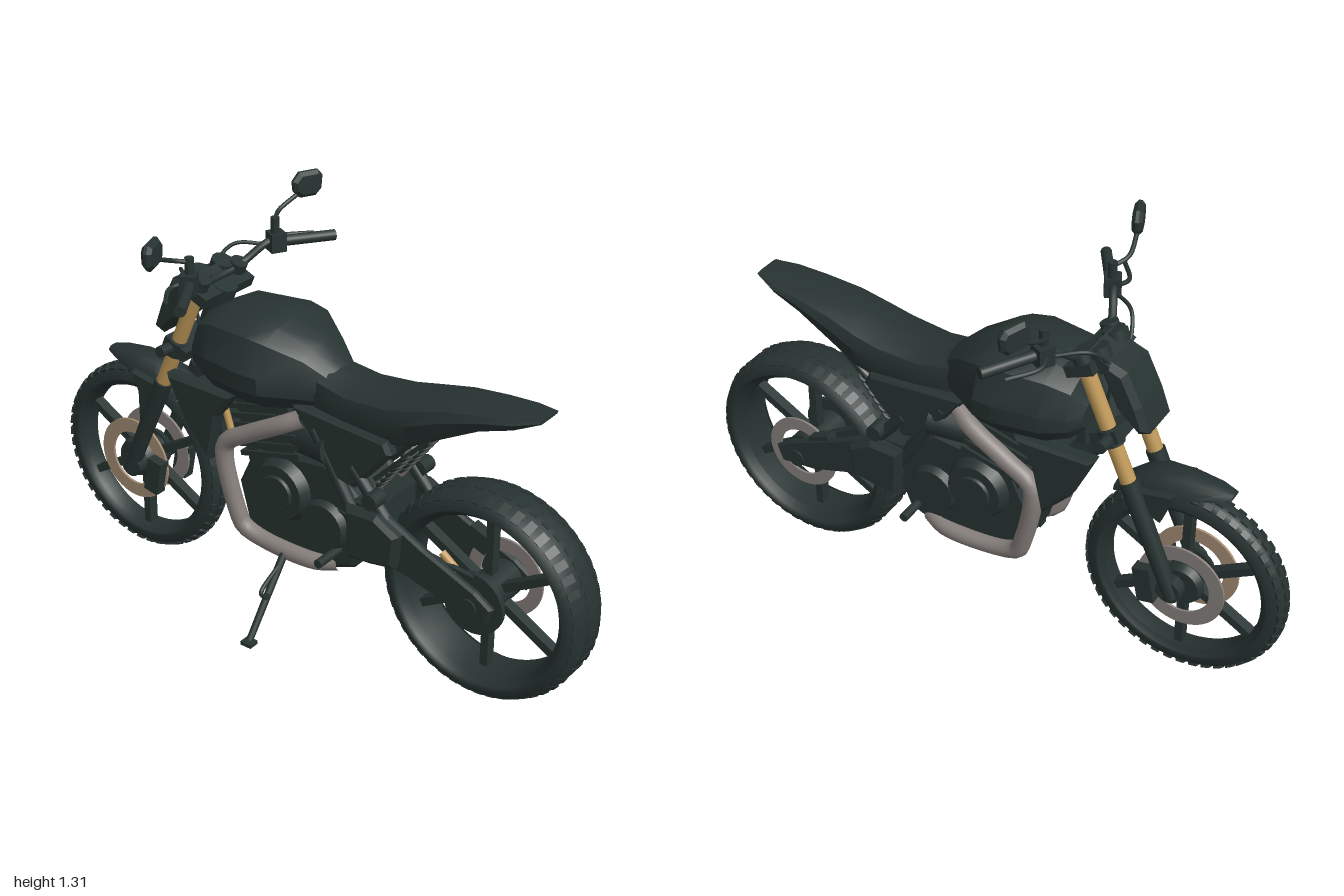
import * as THREE from 'three';
import { mergeGeometries, toCreasedNormals } from 'three/addons/utils/BufferGeometryUtils.js';

const mat = (name, color) => Object.assign(new THREE.MeshStandardMaterial({ color }), { name });
const V = (p) => new THREE.Vector3(...p);

export function createModel() {
  const dark = mat('dark bodywork', 0x273331);
  const gold = mat('gold fork', 0xbf9858);
  const steel = mat('exhaust steel', 0x87807c);
  const tan = mat('brake disc bronze', 0xa48c74);
  const root = new THREE.Group();
  root.name = 'motorcycle';

  const add = (name, geo, m = dark, parent = root) => {
    const mesh = new THREE.Mesh(geo, m);
    mesh.name = name;
    parent.add(mesh);
    return mesh;
  };
  const both = (fn) => [1, -1].forEach(fn);

  // Cylinder between two points
  const rod = (name, a, b, r, m = dark, r2 = r, seg = 14) => {
    const A = V(a), B = V(b), d = B.clone().sub(A);
    const mesh = add(name, new THREE.CylinderGeometry(r2, r, d.length(), seg), m);
    mesh.position.copy(A).addScaledVector(d, 0.5);
    mesh.quaternion.setFromUnitVectors(new THREE.Vector3(0, 1, 0), d.normalize());
    return mesh;
  };
  const box = (name, size, pos, rz = 0) => {
    const mesh = add(name, new THREE.BoxGeometry(...size));
    mesh.position.set(...pos);
    mesh.rotation.z = rz;
    return mesh;
  };
  const tube = (name, pts, r, m = dark) =>
    add(name, new THREE.TubeGeometry(new THREE.CatmullRomCurve3(pts.map(V), false, 'centripetal'), 40, r, 12), m);
  // Side outline extruded from z0 to z1 with a small bevel
  const plate = (name, pts, z0, z1, bevel = 0.008) => {
    const shape = new THREE.Shape(pts.map(([x, y]) => new THREE.Vector2(x, y)));
    const geo = new THREE.ExtrudeGeometry(shape, { depth: z1 - z0 - 2 * bevel, bevelEnabled: true,
      bevelThickness: bevel, bevelSize: bevel, bevelOffset: -bevel, bevelSegments: 1 });
    return add(name, geo.translate(0, 0, z0 + bevel));
  };
  const sidePlates = (name, pts, z0, z1, bevel) =>
    both((s) => plate(name, pts, Math.min(s * z0, s * z1), Math.max(s * z0, s * z1), bevel));
  // Flat ring facing z
  const ring = (name, x, y, z, r0, r1, t, m) => {
    const s = new THREE.Shape().absarc(0, 0, r1, 0, Math.PI * 2);
    s.holes.push(new THREE.Path().absarc(0, 0, r0, 0, Math.PI * 2, true));
    const geo = new THREE.ExtrudeGeometry(s, { depth: t, bevelEnabled: false, curveSegments: 24 });
    return add(name, geo.translate(x, y, z - t / 2), m);
  };
  // Skin over sections [x, bottom, top, halfWidth] with a half profile of [z, y] fractions
  const loft = (name, sections, half, crease = 0.5) => {
    const inner = half.filter(([z]) => z > 0);
    const prof = [...half, ...inner.reverse().map(([z, y]) => [-z, y])];
    const n = prof.length, pos = [], idx = [];
    for (const [x, b, t, w] of sections) for (const [z, y] of prof) pos.push(x, b + (t - b) * y, z * w);
    const last = sections.length - 1;
    for (let i = 0; i < last; i++) for (let j = 0; j < n; j++) {
      const a = i * n + j, c = i * n + (j + 1) % n;
      idx.push(a, c, a + n, c, c + n, a + n);
    }
    for (const i of [0, last]) {
      const [x, b, t] = sections[i], k = pos.length / 3;
      pos.push(x, (b + t) / 2, 0);
      for (let j = 0; j < n; j++) {
        const p = i * n + j, q = i * n + (j + 1) % n;
        idx.push(k, ...(i ? [p, q] : [q, p]));
      }
    }
    const geo = new THREE.BufferGeometry();
    geo.setAttribute('position', new THREE.Float32BufferAttribute(pos, 3));
    geo.setIndex(idx);
    return add(name, toCreasedNormals(geo, crease));
  };

  // Wheels: tyre and rim, tread blocks, spokes, hub
  const wheel = (name, x, y, R, ri, w, tread) => {
    const g = new THREE.Group();
    g.name = name;
    g.position.set(x, y, 0);
    root.add(g);
    const r = R - tread;
    const half = [[ri, 0.6], [ri + 0.02, 0.82], [r - 0.045, 0.98], [r - 0.014, 0.78], [r - 0.002, 0.5], [r, 0]];
    const pts = [...half.map(([a, b]) => [a, -b * w]), ...half.slice(0, -1).reverse().map(([a, b]) => [a, b * w]), [ri, -0.6 * w]];
    add('tyre', new THREE.LatheGeometry(pts.map((p) => new THREE.Vector2(...p)), 64).rotateX(Math.PI / 2), dark, g);
    const blocks = [];
    for (let i = 0; i < 46; i++) for (const k of [-1, 0, 1]) {
      const b = new THREE.BoxGeometry(0.026, 0.014, w * 0.42);
      b.rotateX(k * 0.45).translate(0, R - 0.008 - Math.abs(k) * 0.007, k * w * 0.6);
      blocks.push(b.rotateZ(((i + (k ? 0.5 : 0)) / 46) * Math.PI * 2));
    }
    add('tread', mergeGeometries(blocks), dark, g);
    for (let i = 0; i < 6; i++) {
      const s = add('spoke', new THREE.BoxGeometry(0.026, ri - 0.03, 0.035).translate(0, ri / 2 + 0.02, 0), dark, g);
      s.rotation.z = (i * Math.PI) / 3;
    }
    add('hub', new THREE.CylinderGeometry(0.06, 0.06, w * 1.7, 20).rotateX(Math.PI / 2), dark, g);
  };
  wheel('frontWheel', -0.672, 0.347, 0.328, 0.255, 0.048, 0.006);
  wheel('rearWheel', 0.66, 0.342, 0.337, 0.262, 0.097, 0.002);
  // Brake discs and rear sprocket
  ring('leftFrontDisc', -0.68, 0.35, 0.052, 0.094, 0.141, 0.008, tan);
  ring('rightFrontDisc', -0.68, 0.35, -0.052, 0.094, 0.141, 0.008, steel);
  ring('rearDisc', 0.66, 0.342, -0.085, 0.085, 0.127, 0.008, steel);
  rod('rearSprocket', [0.66, 0.342, 0.08], [0.66, 0.342, 0.098], 0.1, dark, 0.1, 28);
  rod('rearBrakeLink', [0.545, 0.468, 0.088], [0.6, 0.425, 0.088], 0.012, gold);
  rod('frontAxle', [-0.66, 0.35, -0.1], [-0.66, 0.35, 0.1], 0.04);
  rod('rearAxle', [0.66, 0.342, -0.13], [0.66, 0.342, 0.13], 0.03);

  // Fork with gold tubes and dark sliders
  const forkX = (y) => -0.34 + (y - 1.08) * 0.44;
  both((s) => {
    const p = (y) => [forkX(y), y, s * 0.087];
    rod('forkTube', p(0.68), p(1.07), 0.024, gold);
    rod('forkSlider', p(0.33), p(0.7), 0.025, dark, 0.03);
    rod('forkCap', p(1.03), p(1.09), 0.028);
    rod('forkCollar', p(0.815), p(0.865), 0.035);
    box('frontCaliper', [0.055, 0.12, 0.04], [-0.575, 0.33, s * 0.07], -0.2);
    rod('discCarrier', [-0.68, 0.35, s * 0.035], [-0.68, 0.35, s * 0.06], 0.07, dark, 0.06, 24);
    rod('indicator', [-0.45, 0.84, s * 0.09], [-0.45, 0.845, s * 0.165], 0.018);
  });
  box('lowerClamp', [0.09, 0.04, 0.23], [forkX(0.84) + 0.01, 0.84, 0], -0.4);
  box('upperClamp', [0.09, 0.035, 0.23], [forkX(1.04) + 0.01, 1.04, 0], -0.4);
  rod('steeringHead', [-0.41, 0.82, 0], [-0.32, 1.05, 0], 0.04);

  // Front mudguard
  const dome = [[0, 1], [0.55, 0.92], [0.9, 0.6], [1, 0], [0, 0]];
  loft('frontFender', [[-0.8, 0.698, 0.712, 0.025], [-0.75, 0.69, 0.722, 0.045], [-0.67, 0.67, 0.73, 0.062],
    [-0.58, 0.655, 0.725, 0.068], [-0.51, 0.635, 0.69, 0.062], [-0.44, 0.61, 0.632, 0.045]], dome, 0.9);
  sidePlates('fenderBracket', [[-0.65, 0.69], [-0.53, 0.67], [-0.565, 0.6], [-0.61, 0.58]], 0.055, 0.085, 0.006);

  // Headlight cowl and instruments
  plate('headlightCowl', [[-0.42, 1.07], [-0.39, 1.04], [-0.45, 0.92], [-0.52, 0.855], [-0.555, 0.87], [-0.525, 0.95], [-0.475, 1.05]], -0.08, 0.08, 0.018);
  box('instruments', [0.07, 0.04, 0.17], [-0.385, 1.065, 0], 0.5);
  both((s) => rod('dial', [-0.385, 1.06, s * 0.05], [-0.37, 1.098, s * 0.05], 0.035));

  // Handlebar, grips, levers and mirrors
  tube('handlebar', [[-0.28, 1.135, -0.23], [-0.3, 1.13, -0.18], [-0.34, 1.075, -0.09], [-0.34, 1.075, 0.09],
    [-0.3, 1.13, 0.18], [-0.28, 1.135, 0.23]], 0.012);
  both((s) => {
    rod('grip', [-0.27, 1.13, s * 0.22], [-0.18, 1.125, s * 0.365], 0.017);
    box('switchBlock', [0.05, 0.06, 0.05], [-0.285, 1.13, s * 0.205]).rotation.y = s * 0.5;
    rod('mirrorMount', [-0.285, 1.13, s * 0.2], [-0.285, 1.21, s * 0.2], 0.014);
    tube('mirrorStem', [[-0.285, 1.195, s * 0.2], [-0.31, 1.21, s * 0.25], [-0.295, 1.245, s * 0.33]], 0.007);
    tube('lever', [[-0.3, 1.13, s * 0.21], [-0.31, 1.125, s * 0.26], [-0.25, 1.12, s * 0.35]], 0.007);
    tube('cable', [[-0.3, 1.12, s * 0.19], [-0.39, 1.12, s * 0.12], [-0.42, 1.03, s * 0.05], [-0.4, 0.9, s * 0.03]], 0.006);
    const m = plate('mirror', [[-0.054, 0.015], [-0.05, -0.018], [-0.028, -0.04], [0.028, -0.042], [0.05, -0.022],
      [0.054, 0.02], [0.038, 0.04], [-0.03, 0.042]].map(([x, y]) => [x * s, y]), -0.016, 0.016, 0.011);
    m.position.set(-0.283, 1.272, s * 0.358);
    m.rotation.set(0, -Math.PI / 2 + s * 0.35, 0);
  });

  // Fuel tank, seat and tail
  loft('fuelTank', [[-0.365, 0.83, 0.92, 0.11], [-0.33, 0.8, 0.985, 0.15], [-0.26, 0.78, 1.022, 0.183],
    [-0.12, 0.775, 1.03, 0.205], [-0.05, 0.775, 1.018, 0.195], [0.05, 0.78, 0.962, 0.125], [0.12, 0.79, 0.9, 0.08]],
    [[0, 1], [0.45, 0.97], [0.8, 0.84], [1, 0.45], [0.98, 0.22], [0.75, 0], [0, 0]], 0.45);
  loft('seatAndTail', [[0.0, 0.78, 0.96, 0.06], [0.09, 0.74, 0.905, 0.1], [0.2, 0.735, 0.885, 0.11], [0.34, 0.745, 0.897, 0.118],
    [0.42, 0.765, 0.915, 0.117], [0.52, 0.82, 0.938, 0.107], [0.64, 0.882, 0.948, 0.092], [0.74, 0.915, 0.955, 0.078], [0.812, 0.948, 0.958, 0.05]],
    [[0, 1], [0.55, 0.97], [0.88, 0.83], [1, 0.55], [0.85, 0.1], [0.6, 0], [0, 0]], 0.6);
  sidePlates('sidePanel', [[0.02, 0.8], [0.36, 0.78], [0.38, 0.74], [0.33, 0.68], [0.25, 0.59], [0.18, 0.6], [0.1, 0.7]], 0.075, 0.125, 0.012);
  sidePlates('radiatorShroud', [[-0.43, 0.78], [-0.17, 0.775], [-0.23, 0.69], [-0.265, 0.53], [-0.36, 0.63]], 0.11, 0.168, 0.012);
  plate('radiator', [[-0.33, 0.78], [-0.25, 0.78], [-0.22, 0.56], [-0.28, 0.55]], -0.13, 0.13);
  box('frameSpine', [0.55, 0.1, 0.14], [-0.08, 0.78, 0], -0.1);
  box('innerMudguard', [0.26, 0.014, 0.17], [0.39, 0.715, 0], 0.8);

  // Engine
  plate('crankcase', [[-0.16, 0.3], [-0.2, 0.45], [-0.13, 0.6], [0.14, 0.63], [0.25, 0.55], [0.28, 0.4], [0.24, 0.3], [0.15, 0.265], [-0.08, 0.265]], -0.105, 0.105, 0.015);
  for (let i = 0; i < 6; i++) box('coolingFin', [0.23, 0.016, 0.22], [-0.07 - i * 0.008, 0.59 + i * 0.03, 0], 0.25);
  box('cylinderBlock', [0.19, 0.26, 0.2], [-0.09, 0.67, 0], 0.25);
  rod('coolantPipe', [-0.235, 0.72, 0.12], [-0.21, 0.64, 0.12], 0.011, gold);
  both((s) => {
    rod('engineCover', [-0.02, 0.49, s * 0.09], [-0.02, 0.49, s * 0.14], 0.112, dark, 0.09, 28);
    rod('coverCap', [-0.02, 0.49, s * 0.135], [-0.02, 0.49, s * 0.15], 0.06, dark, 0.055, 24);
    rod('sprocketCover', [0.14, 0.42, s * 0.09], [0.14, 0.42, s * 0.13], 0.09, dark, 0.075, 24);
    rod('airboxMount', [0.02, 0.66, s * 0.05], [0.16, 0.68, s * 0.09], 0.055);
    // Exhaust pipes
    tube('exhaustPipe', [[0.05, 0.75, s * 0.1], [0.0, 0.725, s * 0.122], [-0.13, 0.655, s * 0.134], [-0.215, 0.6, s * 0.136], [-0.225, 0.55, s * 0.136],
      [-0.185, 0.36, s * 0.125], [-0.165, 0.315, s * 0.12], [-0.1, 0.288, s * 0.112], [0.1, 0.28, s * 0.108], [0.17, 0.29, s * 0.08]], 0.029, steel);
    // Rear frame, shocks and footpegs
    rod('frameTube', [0.1, 0.74, s * 0.11], [0.28, 0.45, s * 0.11], 0.02);
    rod('swingarmBrace', [0.24, 0.66, s * 0.11], [0.4, 0.48, s * 0.11], 0.02);
    rod('shock', [0.29, 0.57, s * 0.07], [0.43, 0.76, s * 0.07], 0.012, steel);
    for (let i = 0; i < 7; i++) {
      const t = i / 6, coil = add('shockCoil', new THREE.TorusGeometry(0.022, 0.006, 6, 16));
      coil.position.set(0.308 + t * 0.098, 0.594 + t * 0.133, s * 0.07);
      coil.rotation.set(Math.PI / 2, 0.63, 0);
    }
    rod('footpeg', [0.19, 0.352, s * 0.1], [0.19, 0.352, s * 0.212], 0.014);
    rod('rearPegMount', [0.33, 0.585, s * 0.1], [0.33, 0.585, s * 0.155], 0.026);
  });

  // Swingarm with pivot covers, and chain
  sidePlates('swingarm', [[0.26, 0.53], [0.36, 0.545], [0.5, 0.475], [0.68, 0.4], [0.74, 0.36], [0.72, 0.305], [0.6, 0.315], [0.45, 0.36], [0.33, 0.38], [0.26, 0.42]], 0.098, 0.124, 0.008);
  sidePlates('pivotCover', [[0.24, 0.54], [0.35, 0.545], [0.43, 0.5], [0.42, 0.39], [0.33, 0.375], [0.25, 0.37]], 0.11, 0.157, 0.014);
  box('swingarmBridge', [0.07, 0.12, 0.22], [0.29, 0.48, 0]);
  box('rearCaliper', [0.08, 0.06, 0.04], [0.56, 0.43, -0.1], -0.4);
  rod('chainTop', [0.14, 0.49, 0.1], [0.66, 0.43, 0.095], 0.009);

  // Kickstand
  rod('kickstandLeg', [0, 0.29, 0.12], [0, 0.05, 0.305], 0.013, dark, 0.011);
  box('kickstandFoot', [0.04, 0.012, 0.035], [0, 0.044, 0.308]);
  tube('kickstandLoop', [[0, 0.245, 0.16], [0.008, 0.2, 0.255], [0.012, 0.175, 0.235], [0, 0.17, 0.205]], 0.007);

  return root;
}
